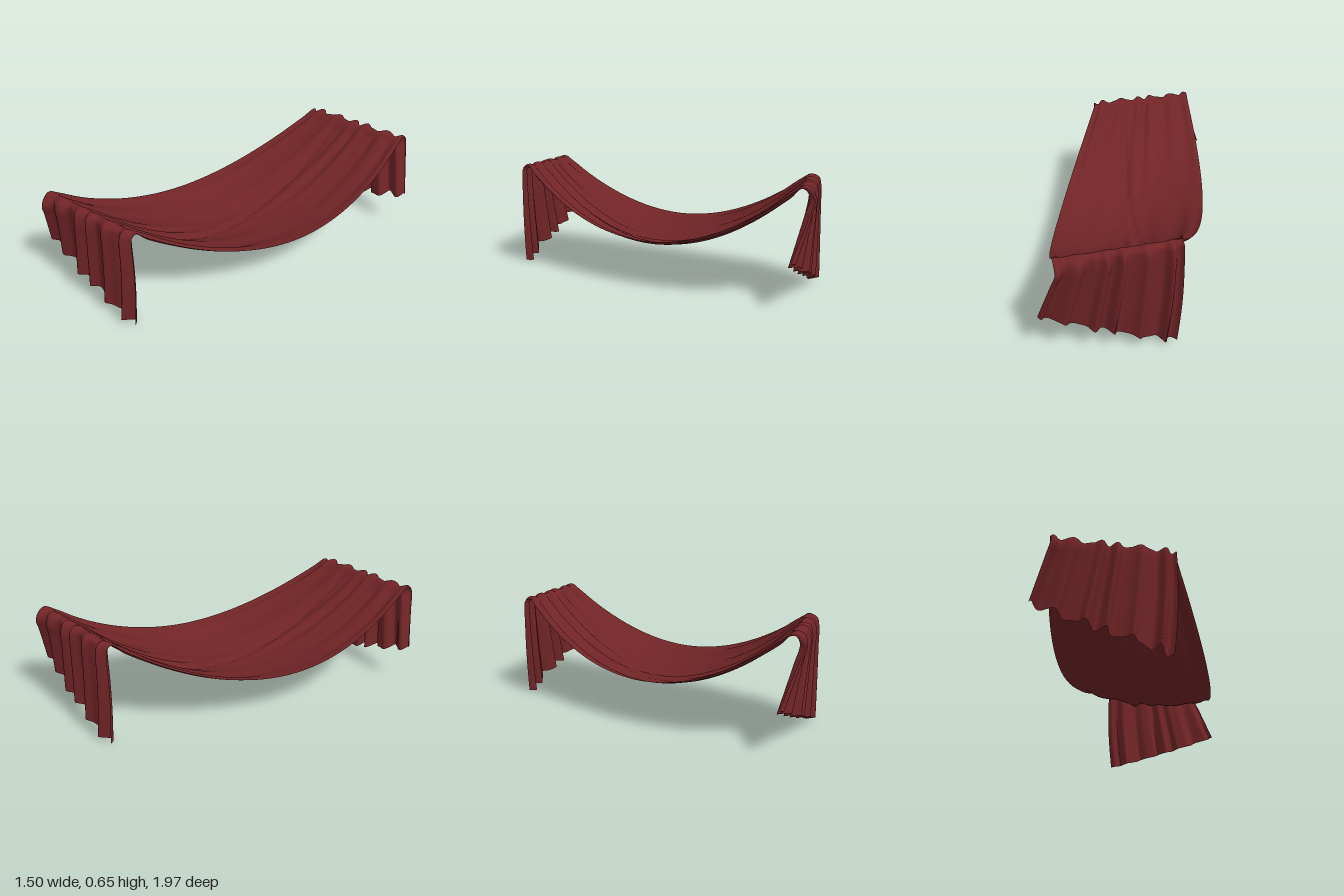
import * as THREE from 'three';

const COLS = 160, STEPS = 6;

// Gathered pleats across the cloth, u = -1 (left) .. 1 (right)
const pleat = u => Math.sin(18 * u + Math.sin(7 * u)) * 0.8 + Math.sin(31 * u + 1) * 0.2;

// Point on the sagging sheet between the two rails
function sheetPoint(u, z) {
  const k = z / 0.9, k2 = k * k;
  const crease = Math.exp(-Math.pow((u - 0.4 * z) / 0.05, 2));
  const y = 0.205 + 0.09 * u * u + (0.44 - 0.09 * u * u) * k2
    + 0.016 * pleat(u) * k + 0.004 * Math.cos(15 * u) * (1 - k) - 0.016 * crease;
  return new THREE.Vector3(-0.35 * z + u * (0.48 - 0.17 * z * z), y, z);
}

// Control points for one strand: hem, hanging flap, rail, then the sheet to its middle
function halfStrand(u) {
  const p = pleat(u), s = (1 - u) / 2;
  const topX = -0.318 + 0.343 * u;
  const hem = new THREE.Vector3(-0.38 + 0.375 * u + 0.008 * Math.cos(18 * u),
    0.012 + 0.255 * Math.pow(s, 1.1) + 0.009 * p,
    0.955 - 0.07 * s - 0.03 * Math.pow(s, 8) + 0.038 * p);
  const shoulder = new THREE.Vector3(topX, 0.59, 0.952 + 0.026 * p + 0.015 * Math.pow(s, 6));
  const flap = [0, 0.25, 0.5, 0.78].map(t => {
    const q = hem.clone().lerp(shoulder, t);
    q.x += 0.012 * Math.sin(Math.PI * t) * Math.max(u, 0);
    return q;
  });
  return [...flap, shoulder,
    new THREE.Vector3(topX, 0.634 + 0.006 * p, 0.944 + 0.02 * p),
    new THREE.Vector3(topX, 0.65 + 0.008 * p, 0.908 + 0.012 * p),
    ...[0.85, 0.73, 0.6, 0.45, 0.3, 0.15, 0].map(z => sheetPoint(u, z))];
}

// The far half is the near half turned half a circle about the vertical axis
function strand(u) {
  const near = halfStrand(u);
  const far = halfStrand(-u).slice(0, -1).reverse()
    .map(q => new THREE.Vector3(-q.x, q.y, -q.z));
  return new THREE.CatmullRomCurve3([...near, ...far]);
}

export function createModel() {
  const group = new THREE.Group();
  group.name = 'drapedCanopy';
  const fabric = new THREE.MeshStandardMaterial({ color: 0x702426, side: THREE.DoubleSide });
  fabric.name = 'dark red fabric';

  // Loft the strands into one continuous cloth
  const pos = [], index = [];
  let rows = 0;
  for (let i = 0; i <= COLS; i++) {
    const curve = strand(-1 + 2 * i / COLS);
    rows = (curve.points.length - 1) * STEPS;
    for (let j = 0; j <= rows; j++) {
      const q = curve.getPoint(j / rows);
      pos.push(q.x, q.y, q.z);
    }
  }
  const at = (i, j) => i * (rows + 1) + j;
  for (let i = 0; i < COLS; i++) {
    for (let j = 0; j < rows; j++) {
      const a = at(i, j), b = at(i + 1, j), c = at(i + 1, j + 1), d = at(i, j + 1);
      index.push(a, b, c, a, c, d);
    }
  }
  const geo = new THREE.BufferGeometry();
  geo.setAttribute('position', new THREE.Float32BufferAttribute(pos, 3));
  geo.setIndex(index);
  geo.computeVertexNormals();

  const cloth = new THREE.Mesh(geo, fabric);
  cloth.name = 'drapedCloth';
  group.add(cloth);
  return group;
}
